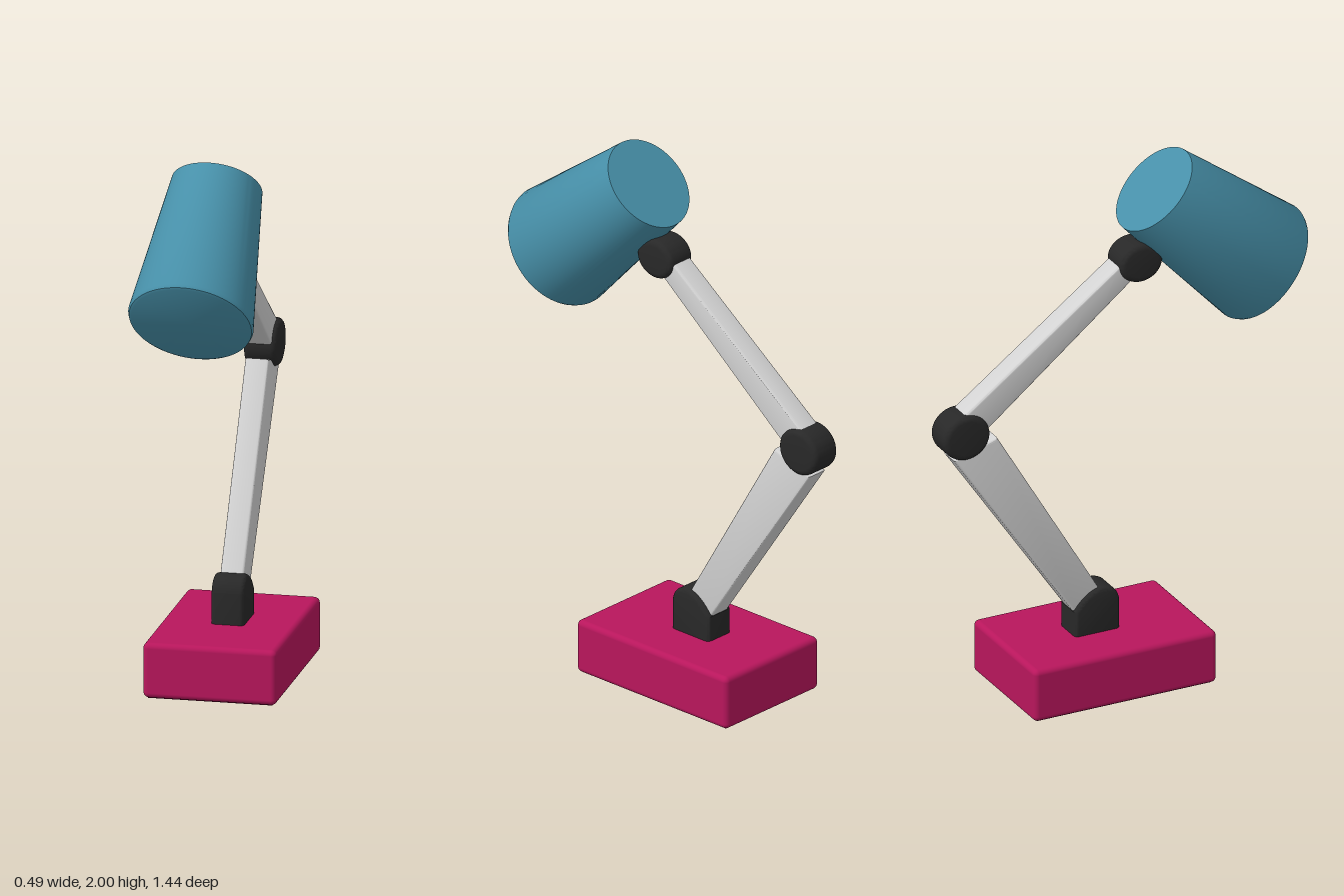
import * as THREE from 'three';
import { toCreasedNormals } from 'three/addons/utils/BufferGeometryUtils.js';
import { RoundedBoxGeometry } from 'three/addons/geometries/RoundedBoxGeometry.js';

const mat = (name, color) => {
  const m = new THREE.MeshStandardMaterial({ color });
  m.name = name;
  return m;
};

// Extrude a side outline drawn as (z, y) across x, centred, with softened edges.
function slab(shape, width, bevel) {
  const geo = new THREE.ExtrudeGeometry(shape, {
    depth: width - 2 * bevel, bevelEnabled: true, bevelThickness: bevel,
    bevelSize: bevel, bevelOffset: -bevel, bevelSegments: 3, curveSegments: 32,
  });
  geo.translate(0, 0, bevel - width / 2);
  geo.rotateY(-Math.PI / 2);
  return toCreasedNormals(geo, 0.6);
}

const outline = (pts) => new THREE.Shape(pts.map(([z, y]) => new THREE.Vector2(z, y)));
const oval = (z, y, rz, ry) => new THREE.Shape().absellipse(z, y, rz, ry, 0, Math.PI * 2);

// Tapered shade: a lathe whose height runs 0..1 from rim to cap,
// carried onto two slightly differently tilted end discs.
function shadeGeometry() {
  const profile = [[0, 0], [0.212, 0], [0.221, 0.008], [0.226, 0.03], [0.163, 1], [0, 1]];
  const geo = new THREE.LatheGeometry(profile.map(([r, t]) => new THREE.Vector2(r, t)), 80);
  const rim = { z: 0.581, y: 1.488, dz: 0.146 / 0.225, dy: 0.176 / 0.225 };
  const cap = { z: 0.145, y: 1.877, dz: 0.127 / 0.163, dy: 0.123 / 0.163 };
  const p = geo.attributes.position;
  const mix = THREE.MathUtils.lerp;
  for (let i = 0; i < p.count; i++) {
    const t = p.getY(i), w = p.getZ(i);
    p.setY(i, mix(rim.y, cap.y, t) + w * mix(rim.dy, cap.dy, t));
    p.setZ(i, mix(rim.z, cap.z, t) + w * mix(rim.dz, cap.dz, t));
  }
  return toCreasedNormals(geo, 0.6);
}

export function createModel() {
  const crimson = mat('crimson', 0xb8165c);
  const maroon = mat('maroon', 0x630a2c);
  const teal = mat('teal', 0x4790a9);
  const grey = mat('lightGrey', 0xd2d2d2);
  const black = mat('charcoal', 0x282828);

  const lamp = new THREE.Group();
  lamp.name = 'deskLamp';
  const add = (name, geo, material) => {
    const mesh = new THREE.Mesh(geo, material);
    mesh.name = name;
    lamp.add(mesh);
    return mesh;
  };

  // Heavy base block with a dark underside
  add('base', new RoundedBoxGeometry(0.486, 0.203, 0.73, 4, 0.02), crimson)
    .position.set(0, 0.1035, -0.0915);
  add('baseUnderside', new THREE.BoxGeometry(0.452, 0.004, 0.696), maroon)
    .position.set(0, 0.002, -0.0915);

  // Bracket on the base, its rounded top sloping to the back
  const bracket = new THREE.Shape();
  bracket.moveTo(-0.2, 0.17);
  bracket.lineTo(-0.02, 0.17);
  bracket.lineTo(-0.02, 0.32);
  bracket.quadraticCurveTo(-0.03, 0.375, -0.09, 0.377);
  bracket.quadraticCurveTo(-0.15, 0.37, -0.2, 0.3);
  bracket.closePath();
  add('baseBracket', slab(bracket, 0.12, 0.015), black);

  // Arms, each widening towards the elbow
  add('lowerArm', slab(outline([[-0.185, 0.28], [-0.06, 0.31], [-0.502, 1.055], [-0.675, 1.0]]), 0.087, 0.01), grey);
  add('upperArm', slab(outline([[-0.595, 1.053], [0.05, 1.569], [0.02, 1.65], [-0.65, 1.158]]), 0.09, 0.01), grey);

  // Pivots
  add('elbowJoint', slab(oval(-0.628, 1.085, 0.092, 0.087), 0.12, 0.02), black);
  add('headJoint', slab(oval(0.068, 1.622, 0.085, 0.074), 0.12, 0.02), black);

  // Shade
  add('shade', shadeGeometry(), teal);

  return lamp;
}
